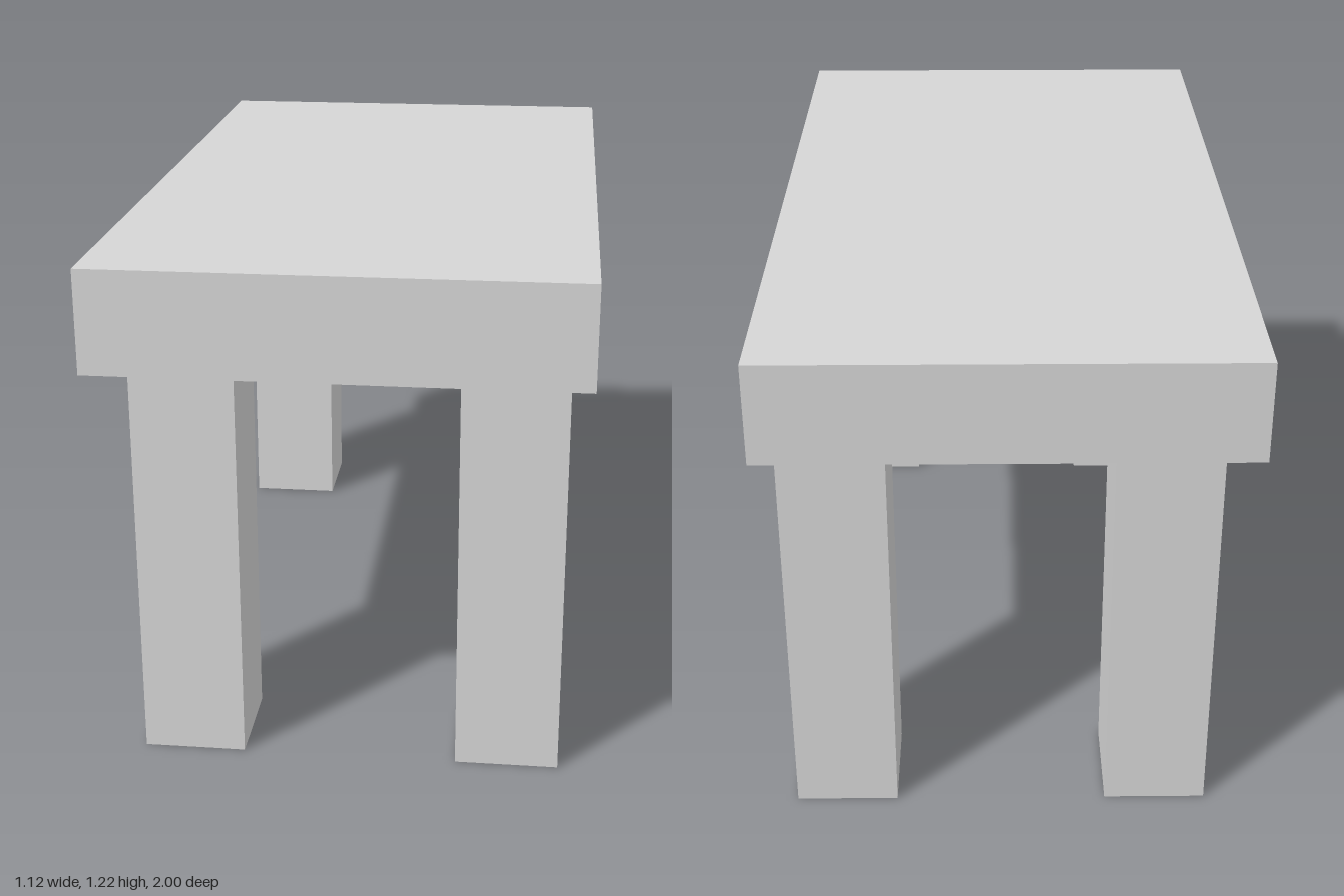
import * as THREE from 'three';

export function createModel() {
  const model = new THREE.Group();
  model.name = 'table';

  const lightGrey = new THREE.MeshStandardMaterial({ color: 0xd6d6d6 });
  lightGrey.name = 'light grey';

  function addBox(name, size, position) {
    const mesh = new THREE.Mesh(new THREE.BoxGeometry(...size), lightGrey);
    mesh.name = name;
    mesh.position.set(...position);
    model.add(mesh);
  }

  // Thick slab top
  const legHeight = 0.98, topThickness = 0.24;
  addBox('tableTop', [1.12, topThickness, 2], [0, legHeight + topThickness / 2, 0]);

  // Four square legs, set slightly off centre under the top
  const legWidth = 0.242;
  for (const [side, x] of [['Right', -0.358], ['Left', 0.389]]) {
    for (const [end, z] of [['front', 0.77], ['back', -0.818]]) {
      addBox(`${end}${side}Leg`, [legWidth, legHeight, legWidth], [x, legHeight / 2, z]);
    }
  }

  return model;
}
